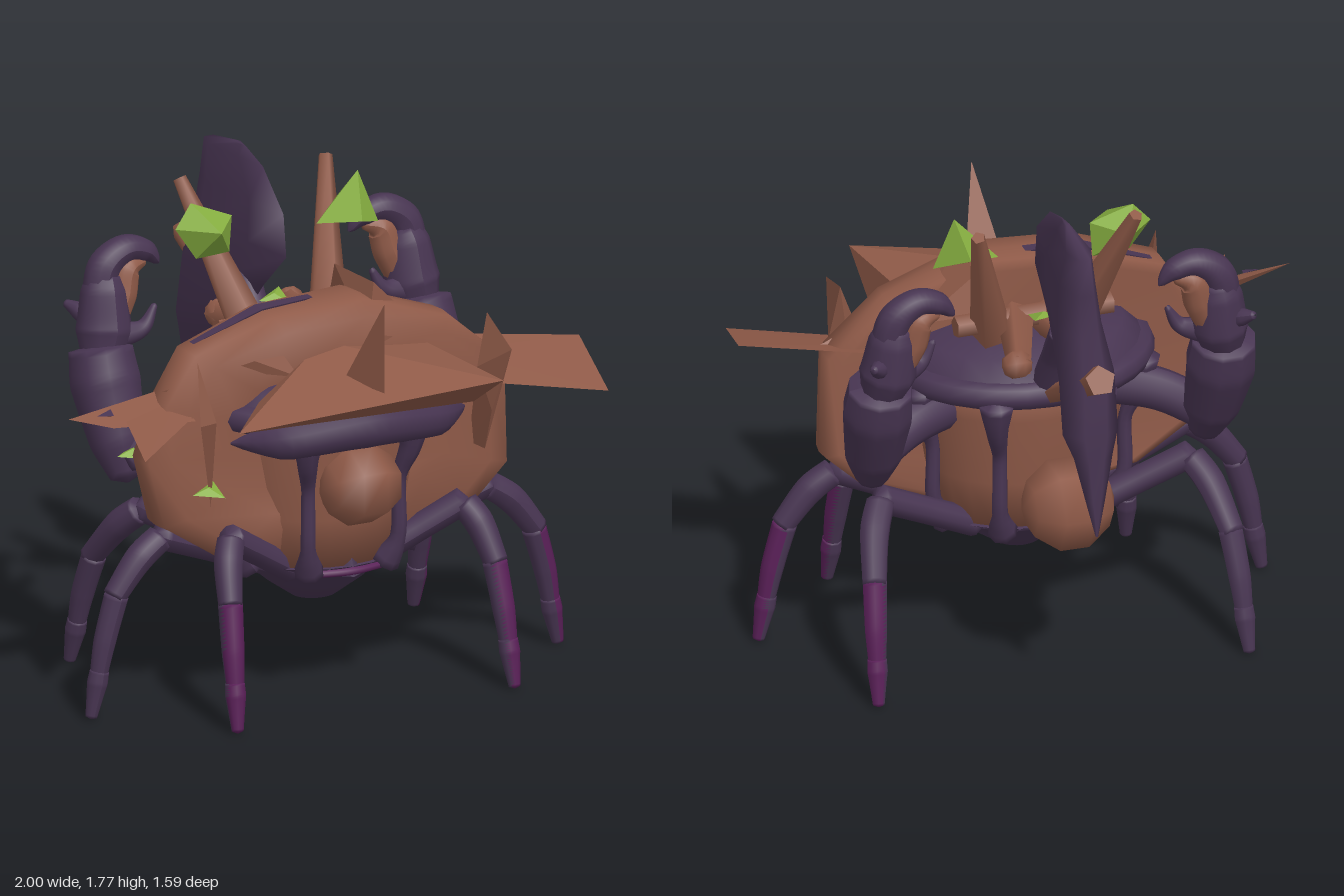
import * as THREE from 'three';
import { ConvexGeometry } from 'three/addons/geometries/ConvexGeometry.js';

const mat = (name, color) => {
  const m = new THREE.MeshStandardMaterial({ color });
  m.name = name;
  return m;
};
const V = (p) => new THREE.Vector3(...p);

// Closed skin over a stack of rings, each an array of [x, y, z]
function loft(rings) {
  const n = rings[0].length, idx = [];
  const last = (rings.length - 1) * n;
  for (let i = 0; i < rings.length - 1; i++)
    for (let j = 0; j < n; j++) {
      const a = i * n + j, b = i * n + (j + 1) % n;
      idx.push(a, b, b + n, a, b + n, a + n);
    }
  for (let j = 1; j < n - 1; j++) idx.push(0, j + 1, j, last, last + j, last + j + 1);
  const g = new THREE.BufferGeometry();
  g.setAttribute('position', new THREE.Float32BufferAttribute(rings.flat(2), 3));
  g.setIndex(idx);
  g.computeVertexNormals();
  return g;
}

// Tube through points with a radius at each point
function limb(points, radii, sides = 10) {
  const curve = new THREE.CatmullRomCurve3(points.map(V), false, 'centripetal');
  const seg = 24, g = new THREE.TubeGeometry(curve, seg, 1, sides, false);
  const p = g.attributes.position, v = new THREE.Vector3();
  for (let i = 0; i <= seg; i++) {
    const c = curve.getPointAt(i / seg);
    const t = curve.getUtoTmapping(i / seg) * (radii.length - 1);
    const k = Math.min(Math.floor(t), radii.length - 2);
    const r = i === 0 || i === seg ? 0.004 : THREE.MathUtils.lerp(radii[k], radii[k + 1], t - k);
    for (let j = 0; j <= sides; j++) {
      const q = i * (sides + 1) + j;
      v.fromBufferAttribute(p, q).sub(c).multiplyScalar(r).add(c);
      p.setXYZ(q, v.x, v.y, v.z);
    }
  }
  g.computeVertexNormals();
  return g;
}

// Splits faces into two material groups: those turned toward dir, then the rest
function twoTone(g, dir) {
  const n = g.attributes.normal, ix = g.index.array, parts = [[], []], d = V(dir);
  const v = new THREE.Vector3(), w = new THREE.Vector3();
  for (let i = 0; i < ix.length; i += 3) {
    v.set(0, 0, 0);
    for (let k = 0; k < 3; k++) v.add(w.fromBufferAttribute(n, ix[i + k]));
    parts[v.dot(d) > 0 ? 0 : 1].push(ix[i], ix[i + 1], ix[i + 2]);
  }
  g.setIndex(parts.flat());
  g.addGroup(0, parts[0].length, 0);
  g.addGroup(parts[0].length, parts[1].length, 1);
  return g;
}

const hull = (pts) => new ConvexGeometry(pts.map(V));

export function createModel() {
  const root = new THREE.Group();
  const brown = mat('brown shell', 0x8f5a48);
  const purple = mat('dark purple', 0x483552);
  const magenta = mat('magenta tips', 0x5a2058);
  const green = mat('green crystal', 0x86ae40);
  const add = (name, geo, m, parent = root) => {
    const mesh = new THREE.Mesh(geo, m);
    mesh.name = name;
    parent.add(mesh);
    return mesh;
  };
  const CX = 0.035, CZ = 0.17, SZ = 0.88;

  // Basket body: keel, inner bowl, lid, rim and ribs
  const basket = (name, pts, m) => {
    const g = new THREE.LatheGeometry(pts.map((p) => new THREE.Vector2(...p)), 24);
    add(name, g.scale(1, 1, SZ).translate(CX, 0, CZ), m);
  };
  basket('keel', [[0, 0.28], [0.08, 0.3], [0.18, 0.37], [0.25, 0.43], [0.32, 0.47], [0, 0.5]], purple);
  basket('innerBowl', [[0, 0.44], [0.3, 0.46], [0.34, 0.65], [0.37, 0.9], [0.38, 1.04], [0, 1.06]], brown);
  basket('lid', [[0.44, 1.02], [0.43, 1.08], [0.37, 1.14], [0.2, 1.19], [0, 1.21]], purple);
  add('rim', new THREE.TorusGeometry(0.43, 0.05, 8, 32).rotateX(Math.PI / 2).scale(1, 1, SZ).translate(CX, 1.03, CZ), purple);
  for (const deg of [28, 72, 113, 155])
    for (const s of [-1, 1]) {
      const a = s * deg * Math.PI / 180;
      const at = (r, y) => [CX + r * Math.sin(a), y, CZ + r * SZ * Math.cos(a)];
      add('rib', limb([at(0.3, 0.44), at(0.37, 0.55), at(0.38, 0.78), at(0.43, 0.9), at(0.44, 1.03)],
        [0.06, 0.028, 0.025, 0.04, 0.07], 8), purple);
    }
  // Wide front brow of the rim
  add('brow', limb([[-0.4, 0.96, 0.38], [-0.25, 0.98, 0.48], [0.05, 1.01, 0.53], [0.34, 0.98, 0.48], [0.51, 0.96, 0.38]],
    [0.008, 0.075, 0.09, 0.075, 0.008]), purple);
  add('keelThorn', new THREE.ConeGeometry(0.04, 0.13, 6).translate(0.04, 0.5, 0.42), purple);
  add('keelBand', limb([[-0.15, 0.455, 0.42], [0.035, 0.455, 0.455], [0.22, 0.455, 0.42]], [0.012, 0.014, 0.012], 6), magenta);

  // Big shell slab behind the front of the basket, thinner toward its sides
  const outline = [[0.73, 0.7], [0.72, 1.08], [0.5, 1.27], [0.15, 1.39], [-0.2, 1.37], [-0.5, 1.27],
    [-0.61, 1.1], [-0.68, 0.9], [-0.62, 0.66], [-0.4, 0.52], [-0.15, 0.48], [0.3, 0.48], [0.6, 0.58]];
  const slab = [[0.11, 0.93], [0.14, 0.99], [0.24, 1], [0.33, 0.99], [0.38, 0.88], [0.42, 0.6]].map(([z, s]) =>
    outline.map(([x, y]) => [0.03 + (x - 0.03) * s, 0.92 + (y - 0.92) * s,
      0.235 + (z - 0.235) * (1 - 0.4 * Math.abs(x) / 0.73)]));
  add('shell', loft(slab), brown);
  add('shellPatch', hull([[-0.46, 1.283, 0.19], [-0.2, 1.376, 0.18], [0, 1.386, 0.19], [0, 1.386, 0.23],
    [-0.2, 1.376, 0.24], [-0.46, 1.283, 0.22]]), purple);
  add('shellCrest', hull([[0.18, 1.43, 0.05], [0.2, 1.43, 0.3], [0.15, 1.25, 0.35], [0.42, 1.22, 0.22],
    [0.2, 1.28, -0.03], [0.42, 1.22, 0.08]]), brown);

  // Jagged shards
  const shards = {
    frontPlate: [[-0.5, 1.08, 0.63], [0.44, 1.18, 0.8], [0.43, 1.05, 0.6], [0.38, 1.2, 0.33], [-0.02, 1.26, 0.33], [-0.3, 1.1, 0.4]],
    frontSpike: [[0.03, 1.49, 0.7], [-0.03, 1.18, 0.52], [0.1, 1.18, 0.55], [0.04, 1.16, 0.68]],
    rightShard: [[-1, 1.12, 0.32], [-0.85, 1.08, 0.37], [-0.5, 1.12, 0.15], [-0.52, 1.05, 0.35], [-0.5, 1.04, 0.2]],
    rightShardFork: [[-0.86, 1.03, 0.62], [-0.78, 1.09, 0.32], [-0.5, 1.1, 0.2], [-0.52, 1.06, 0.33]],
    leftShard: [[1, 1.12, 0.3], [0.94, 1.02, 0.63], [0.45, 1.13, 0.02], [0.6, 1.04, 0.42], [0.55, 1.1, 0.2]],
    rightDagger: [[-0.52, 0.77, 0.46], [-0.54, 1.28, 0.4], [-0.58, 1.08, 0.5], [-0.48, 1.06, 0.33], [-0.54, 1.1, 0.54]],
    leftDagger: [[0.58, 0.8, 0.4], [0.57, 0.8, 0.3], [0.62, 1.27, 0.34], [0.6, 1.2, 0.56], [0.65, 1.05, 0.38], [0.57, 0.96, 0.47], [0.55, 1.1, 0.4]],
    topRidge: [[-0.6, 1.14, 0.25], [0.73, 1.1, 0.25], [0.2, 1.26, 0.38], [-0.3, 1.24, 0.37], [0, 1.1, 0.42]],
  };
  for (const [name, pts] of Object.entries(shards)) add(name, hull(pts), brown);
  // Purple scrap on the tip of the right shard
  add('shardTipPatch', hull([[-0.89, 1.114, 0.32], [-0.82, 1.122, 0.29], [-0.83, 1.112, 0.335], [-0.85, 1.108, 0.32]]), purple);

  // Round nodules
  for (const [x, y, z, r, turn] of [[0.04, 0.78, 0.5, 0.15, 0], [0.035, 0.7, -0.4, 0.167, Math.PI / 6],
    [-0.09, 1.2, -0.28, 0.055, 0], [0.18, 1.2, -0.28, 0.055, 0]])
    add('nodule', new THREE.SphereGeometry(r, 6, 5).rotateY(turn).rotateZ(Math.PI / 2).translate(x, y, z), brown);

  // Stalks, roots and crystals
  const stalk = (name, a, b, r0, r1) => {
    const d = V(b).sub(V(a)), len = d.length();
    const m = add(name, new THREE.CylinderGeometry(r1, r0, len, 5), brown);
    m.position.copy(V(a).addScaledVector(d, 0.5));
    m.quaternion.setFromUnitVectors(new THREE.Vector3(0, 1, 0), d.normalize());
  };
  for (const s of [-1, 1]) {
    stalk('stalk', [CX + s * 0.15, 1.2, -0.01], [CX + s * 0.285, 1.71, -0.28], 0.075, 0.025);
    stalk('backRoot', [CX + s * 0.05, 1.22, 0.02], [CX + s * 0.14, 1.2, -0.3], 0.07, 0.045);
  }
  stalk('crossRoot', [-0.25, 1.24, 0.0], [0.32, 1.24, -0.02], 0.04, 0.04);
  stalk('tailStalk', [CX, 1.05, -0.25], [CX, 1.35, -0.77], 0.035, 0.055);
  add('rightCrystal', hull([[-0.36, 1.59, -0.1], [-0.29, 1.67, -0.12], [-0.14, 1.61, -0.1], [-0.15, 1.48, -0.1],
    [-0.29, 1.48, -0.08], [-0.24, 1.59, 0.015], [-0.26, 1.59, -0.2]]), green);
  add('leftCrystal', hull([[0.35, 1.7, -0.1], [0.19, 1.53, -0.1], [0.42, 1.51, -0.08], [0.31, 1.55, 0.01], [0.32, 1.58, -0.2]]), green);
  for (const [x, y, z] of [[0.03, 1.28, -0.11], [-0.58, 0.84, 0.0], [-0.54, 0.83, 0.48]])
    add('crystalChip', hull([[x - 0.06, y, z], [x + 0.05, y + 0.02, z - 0.06], [x + 0.04, y - 0.01, z + 0.05], [x, y + 0.02, z]]), green);

  // Tail sail: rows of [y, front z, back z, half width]
  const rows = [[0.73, -0.71, -0.73, 0.005], [0.86, -0.63, -0.73, 0.035], [1.02, -0.53, -0.725, 0.07], [1.1, -0.38, -0.72, 0.1],
    [1.3, -0.2, -0.71, 0.1], [1.45, -0.03, -0.65, 0.08], [1.6, -0.05, -0.615, 0.065], [1.73, -0.2, -0.6, 0.045], [1.77, -0.33, -0.4, 0.01]];
  add('tailSail', loft(rows.map(([y, f, b, w]) => {
    const at = (t, k) => [CX + w * k, y, f + (b - f) * t];
    return [at(0, 0), at(0.35, 0.45), at(0.8, 1), at(1, 0.4), at(1, -0.4), at(0.8, -1), at(0.35, -0.45)];
  })), purple);
  add('tailStem', limb([[CX, 1.06, -0.18], [CX, 1.2, -0.26], [CX, 1.35, -0.36]], [0.06, 0.05, 0.05]), purple);

  // Legs and claws, mirrored about the body centre;
  // glow gives, for the right and left leg, the way its magenta faces point
  const legs = [
    { hip: [0.15, 0.44, 0.3], knee: [0.47, 0.64, 0.42], mid: [0.52, 0.42, 0.54], foot: [0.54, 0, 0.63], glow: [[0.2, 0, 1], [0.8, 0, 0.6]] },
    { hip: [0.18, 0.44, 0.18], knee: [0.66, 0.63, 0.25], mid: [0.83, 0.42, 0.255], foot: [0.91, 0, 0.25], glow: [null, [1, 0, 0.2]] },
    { hip: [0.18, 0.44, 0.04], knee: [0.58, 0.64, -0.04], mid: [0.65, 0.4, -0.25], foot: [0.67, 0, -0.36], glow: [null, [0.8, 0, -0.6]] },
  ];
  for (const s of [-1, 1]) {
    const side = new THREE.Group();
    side.name = s > 0 ? 'leftLimbs' : 'rightLimbs';
    side.position.x = CX;
    root.add(side);
    const mir = (p) => [p[0] * s, p[1], p[2]];
    const part = (name, pts, radii, m) => add(name, limb(pts.map(mir), radii), m, side);
    const lerp = (a, b, t) => a.map((v, i) => v + (b[i] - v) * t);
    for (const { hip, knee, mid, foot, glow } of legs) {
      part('upperLeg', [hip, lerp(hip, knee, 0.5), knee], [0.05, 0.048, 0.05], purple);
      part('lowerLeg', [lerp(knee, hip, 0.06), lerp(knee, mid, 0.35), mid], [0.05, 0.052, 0.042], purple);
      const shin = part('shin', [lerp(mid, knee, 0.12), lerp(mid, foot, 0.35), lerp(mid, foot, 0.68)], [0.044, 0.04, 0.03], purple);
      const tip = part('legTip', [lerp(mid, foot, 0.58), lerp(mid, foot, 0.7), foot], [0.034, 0.037, 0.02], purple);
      const dir = glow[s > 0 ? 1 : 0];
      if (dir)
        for (const m of [shin, tip]) {
          twoTone(m.geometry, dir);
          m.material = [magenta, purple];
        }
    }
    part('clawShoulder', [[0.25, 0.92, 0.06], [0.45, 0.89, -0.02], [0.62, 0.8, -0.08]], [0.08, 0.075, 0.07], purple);
    part('clawForearm', [[0.6, 0.72, -0.06], [0.61, 0.85, -0.11], [0.62, 1.05, -0.19], [0.62, 1.18, -0.23]], [0.05, 0.1, 0.125, 0.11], purple);
    part('clawHand', [[0.62, 1.12, -0.22], [0.6, 1.22, -0.24], [0.59, 1.36, -0.26], [0.58, 1.42, -0.27]], [0.07, 0.1, 0.08, 0.05], purple);
    part('clawHook', [[0.61, 1.33, -0.26], [0.58, 1.44, -0.27], [0.5, 1.49, -0.27], [0.42, 1.47, -0.27], [0.37, 1.42, -0.27]],
      [0.06, 0.06, 0.05, 0.04, 0.01], purple);
    part('clawInner', [[0.56, 1.24, -0.25], [0.52, 1.33, -0.26], [0.49, 1.42, -0.27], [0.42, 1.44, -0.27]], [0.05, 0.055, 0.05, 0.015], brown);
    part('clawThumb', [[0.55, 1.2, -0.22], [0.47, 1.22, -0.2], [0.42, 1.3, -0.2]], [0.05, 0.03, 0.01], purple);
    part('clawSpur', [[0.63, 1.25, -0.27], [0.66, 1.28, -0.32], [0.69, 1.3, -0.36]], [0.04, 0.03, 0.012], purple);
  }
  return root;
}
